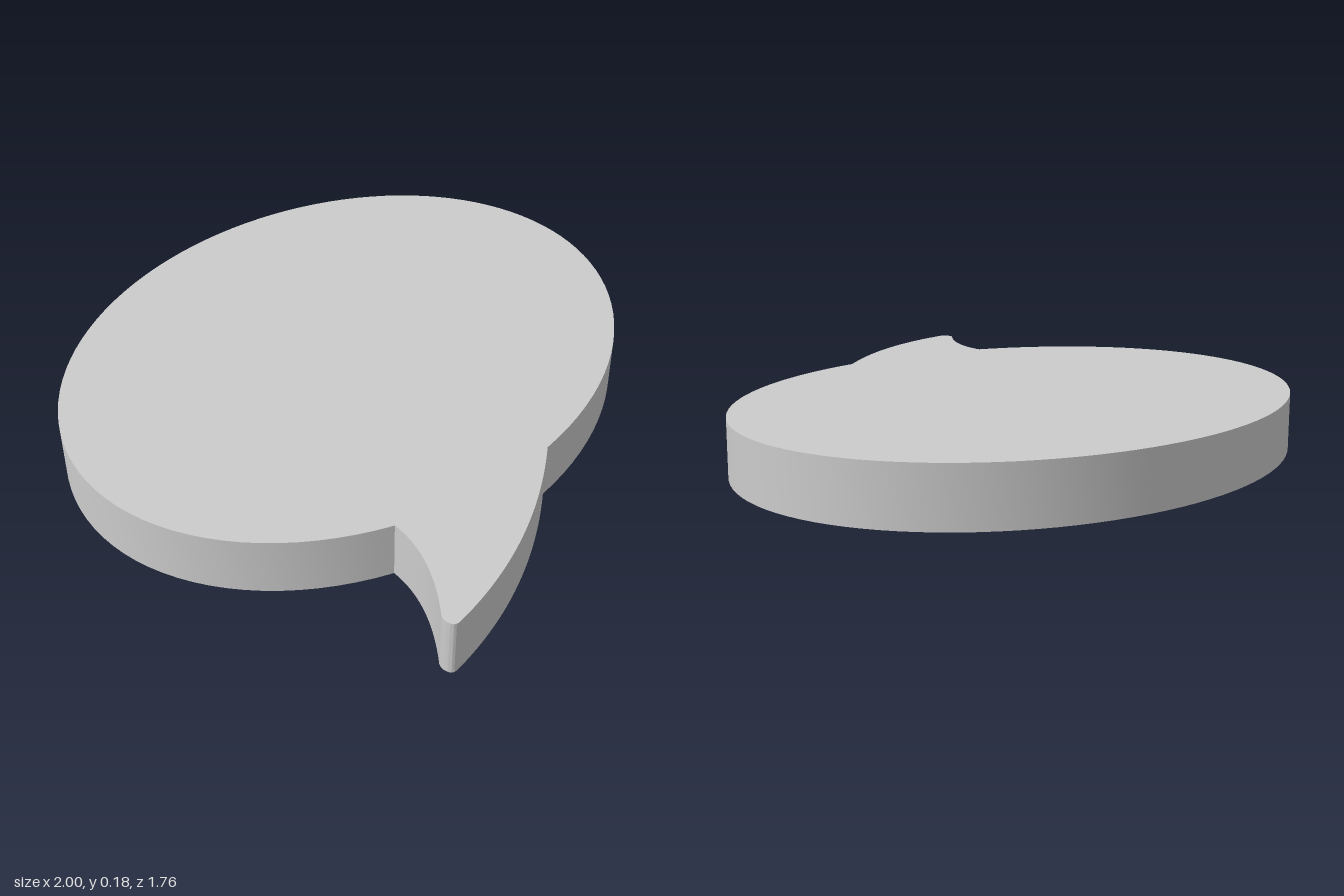
import * as THREE from 'three';
import { toCreasedNormals } from 'three/addons/utils/BufferGeometryUtils.js';

const THICKNESS = 0.18;

// Outline drawn in plan, with shape y = -z
function bubbleOutline() {
  const shape = new THREE.Shape();
  // Oval body, left open between the two roots of the tail
  const start = -Math.PI / 2 - 0.07;
  const end = Math.PI + Math.atan2(0.8, 0.6);
  shape.absellipse(0, 0.09, 1, 0.79, start, end, false);
  // Curved tail with a small rounded tip
  shape.quadraticCurveTo(-0.63, -0.69, -0.79, -0.827);
  shape.quadraticCurveTo(-0.803, -0.84, -0.8, -0.86);
  shape.quadraticCurveTo(-0.798, -0.875, -0.78, -0.877);
  shape.quadraticCurveTo(-0.43, -0.89, -0.07, -0.698);
  return shape;
}

export function createModel() {
  const group = new THREE.Group();
  group.name = 'speechBubble';

  // Flat plate standing on the ground, smooth around the rim
  const plate = new THREE.ExtrudeGeometry(bubbleOutline(), {
    depth: THICKNESS, bevelEnabled: false, curveSegments: 48,
  });
  plate.rotateX(-Math.PI / 2);

  const mesh = new THREE.Mesh(
    toCreasedNormals(plate, 0.4),
    new THREE.MeshStandardMaterial({ color: 0xcccccc }),
  );
  mesh.name = 'bubblePlate';
  group.add(mesh);
  return group;
}
